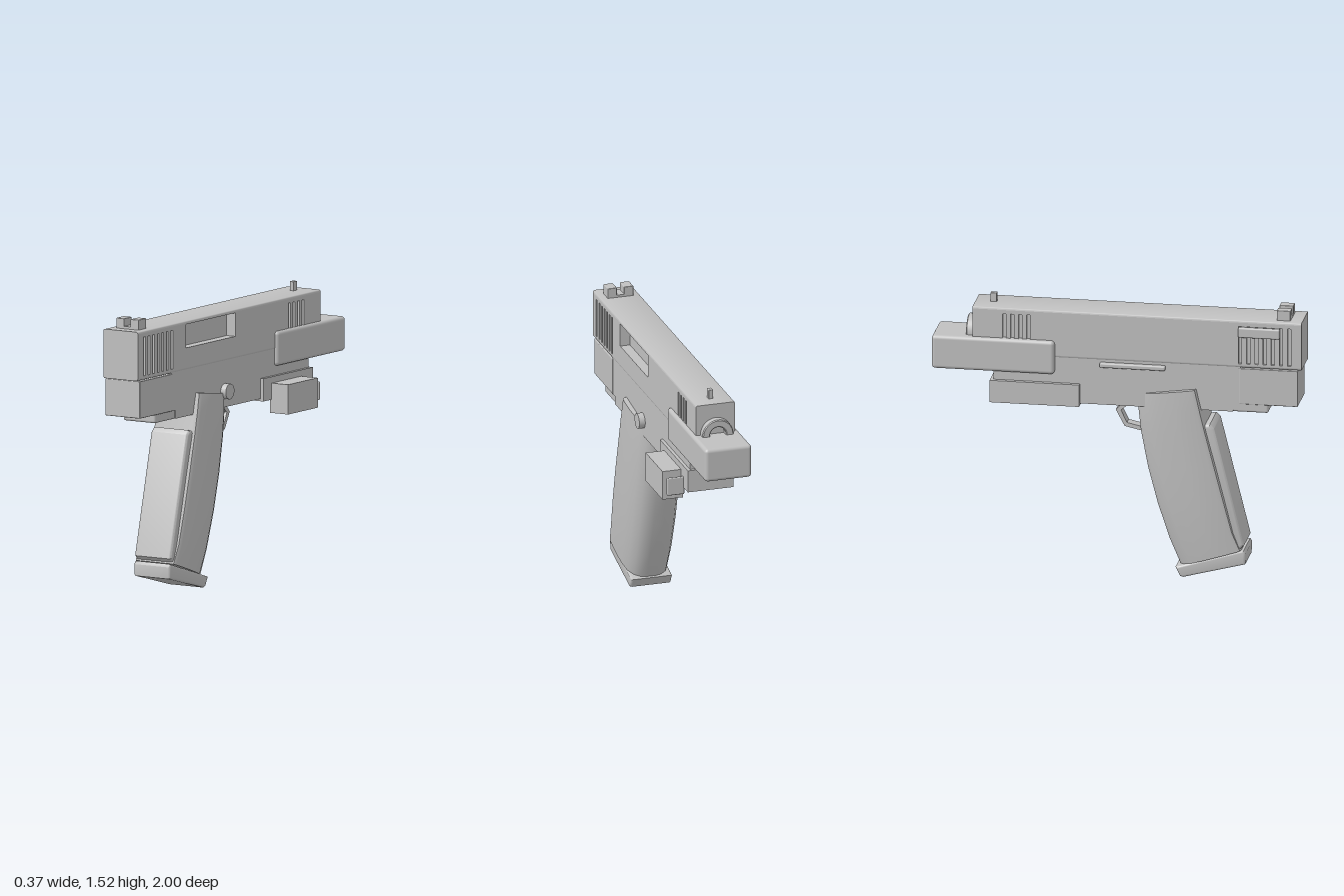
import * as THREE from 'three';
import { toCreasedNormals } from 'three/addons/utils/BufferGeometryUtils.js';
import { RoundedBoxGeometry } from 'three/addons/geometries/RoundedBoxGeometry.js';

const CX = -0.045; // centre plane of the body

export function createModel() {
  const model = new THREE.Group();
  const grey = new THREE.MeshStandardMaterial({ color: 0xc0c0c0 });
  grey.name = 'plain grey';

  const add = (name, geo) => {
    const mesh = new THREE.Mesh(geo, grey);
    mesh.name = name;
    model.add(mesh);
    return mesh;
  };

  // Box between limits, optionally with rounded edges
  const box = (name, x0, x1, y0, y1, z0, z1, r = 0) => {
    const s = [x1 - x0, y1 - y0, z1 - z0];
    const geo = r ? new RoundedBoxGeometry(...s, 3, r) : new THREE.BoxGeometry(...s);
    geo.translate((x0 + x1) / 2, (y0 + y1) / 2, (z0 + z1) / 2);
    return add(name, geo);
  };

  const rectPoints = (z0, z1, y0, y1) =>
    [[z0, y0], [z1, y0], [z1, y1], [z0, y1]].map(p => new THREE.Vector2(...p));

  // Side outline given as (z, y) and extruded from x0 to x1
  const sidePart = (name, points, x0, x1, bevel = 0, holes = []) => {
    const shape = new THREE.Shape(points.map(p => (p.isVector2 ? p : new THREE.Vector2(...p))));
    holes.forEach(h => shape.holes.push(new THREE.Path(h)));
    const geo = new THREE.ExtrudeGeometry(shape, {
      depth: x1 - x0 - 2 * bevel, bevelEnabled: bevel > 0,
      bevelSize: bevel, bevelThickness: bevel, bevelOffset: -bevel, bevelSegments: 3,
    });
    geo.rotateY(-Math.PI / 2).translate(x1 - bevel, 0, 0);
    return add(name, toCreasedNormals(geo, 0.6));
  };

  // Slide: rounded bar with a channel on each side for the slotted plates
  const [x0, x1, y0, y1, r] = [-0.155, 0.065, 1.2, 1.465, 0.012];
  const [ya, yb, dR, dL] = [1.213, 1.453, 0.055, 0.015];
  const bar = new THREE.Shape();
  bar.moveTo(x0 + r, y0);
  bar.lineTo(x1 - r, y0);
  bar.quadraticCurveTo(x1, y0, x1, ya);
  bar.lineTo(x1 - dR, ya);
  bar.lineTo(x1 - dR, yb);
  bar.lineTo(x1, yb);
  bar.quadraticCurveTo(x1, y1, x1 - r, y1);
  bar.lineTo(x0 + r, y1);
  bar.quadraticCurveTo(x0, y1, x0, yb);
  bar.lineTo(x0 + dL, yb);
  bar.lineTo(x0 + dL, ya);
  bar.lineTo(x0, ya);
  bar.quadraticCurveTo(x0, y0, x0 + r, y0);
  const barGeo = new THREE.ExtrudeGeometry(bar, { depth: 1.78, bevelEnabled: false, curveSegments: 4 });
  add('slideCore', toCreasedNormals(barGeo.translate(0, 0, -0.78), 0.6));

  // Slotted side plates, with the side opening on one of them
  const slots = [];
  for (let i = 0; i < 7; i++) slots.push(0.935 - i * 0.0445);
  for (let i = 0; i < 4; i++) slots.push(-0.478 - i * 0.0435);
  const slotHoles = slots.map(z => rectPoints(z - 0.009, z + 0.009, 1.222, 1.432));
  const plate = rectPoints(-0.78, 1, ya, yb);
  sidePart('slideRightPlate', plate, x1 - dR, x1, 0, [...slotHoles, rectPoints(0.05, 0.53, 1.32, 1.447)]);
  sidePart('slideLeftPlate', plate, x0, x0 + dL, 0, slotHoles);
  box('rearSlotFloor', 0, 0.05, ya, yb, 0.62, 0.98);
  box('frontSlotFloor', 0, 0.05, ya, yb, -0.66, -0.43);
  box('slideSideBar', -0.177, -0.15, 1.375, 1.43, 0.66, 0.885, 0.008);

  // Sights
  box('rearSightLeft', -0.025, 0.027, 1.455, 1.52, 0.86, 0.935, 0.004);
  box('rearSightRight', -0.117, -0.065, 1.455, 1.52, 0.86, 0.935, 0.004);
  box('rearSightBase', -0.07, -0.02, 1.455, 1.478, 0.86, 0.935);
  box('frontSight', -0.058, -0.032, 1.455, 1.515, -0.7, -0.665, 0.004);

  // Barrel end: hollow ring from a lathe profile
  const ring = [[0.045, -0.1], [0.087, -0.1], [0.087, 0.035], [0.082, 0.04], [0.05, 0.04], [0.045, 0.035], [0.045, -0.1]];
  const barrel = new THREE.LatheGeometry(ring.map(p => new THREE.Vector2(...p)), 32);
  barrel.rotateX(-Math.PI / 2).translate(CX - 0.002, 1.3, -0.78);
  add('barrelEnd', toCreasedNormals(barrel, 0.6));

  // Frame
  box('frameRearBlock', -0.155, 0.065, 0.995, 1.196, 0.662, 0.98, 0.004);
  box('frameBody', -0.152, 0.062, 0.995, 1.21, -0.667, 0.67);
  box('frameUnderside', -0.147, 0.057, 0.948, 1.1, -0.21, 0.82, 0.012);
  box('frameMiddle', -0.152, 0.062, 0.95, 1.05, -0.21, 0.63);
  box('noseBlock', -0.178, 0.084, 1.11, 1.296, -1, -0.335, 0.02);
  box('railBlock', -0.175, 0.08, 0.937, 1.06, -0.685, -0.2);
  box('sideModule', 0.07, 0.185, 0.865, 1.026, -0.57, -0.28);
  box('moduleSwitch', 0.075, 0.172, 0.9, 1.0, -0.614, -0.598, 0.006);
  box('slideLever', -0.178, -0.148, 1.164, 1.19, -0.09, 0.265, 0.008);

  // Round button above the trigger
  const button = new THREE.CylinderGeometry(0.042, 0.042, 0.05, 28);
  button.rotateZ(Math.PI / 2).translate(0.07, 1.037, 0.147);
  add('roundButton', button);

  // Bent trigger
  sidePart('trigger', [
    [0.06, 0.96], [0.025, 0.945], [-0.018, 0.9], [0.03, 0.81], [0.12, 0.79],
    [0.12, 0.813], [0.043, 0.83], [0.01, 0.898], [0.06, 0.94],
  ], -0.075, -0.015);

  // Grip lofted from rows: back z, back y, front z, front y, half width
  const rows = [
    [0.675, 0.172, 0.332, 0.06, 0.129], [0.634, 0.27, 0.273, 0.2, 0.136],
    [0.587, 0.45, 0.207, 0.4, 0.141], [0.54, 0.63, 0.155, 0.6, 0.142],
    [0.487, 0.83, 0.117, 0.8, 0.14], [0.455, 0.96, 0.104, 0.92, 0.138],
    [0.43, 1.065, 0.1, 1.02, 0.134],
  ];
  const half = [[0, 0.8], [0.02, 0.93], [0.07, 1], [0.4, 1], [0.62, 0.96], [0.8, 0.86], [0.92, 0.68], [0.98, 0.45], [1, 0.2]];
  const section = [...half, ...half.slice().reverse().map(([u, w]) => [u, -w])];
  const n = section.length, pos = [], idx = [];
  for (const [bz, by, fz, fy, hw] of rows)
    for (const [u, w] of section) pos.push(CX + w * hw, by + (fy - by) * u, bz + (fz - bz) * u);
  for (let i = 0; i < rows.length - 1; i++)
    for (let j = 0; j < n; j++) {
      const a = i * n + j, b = i * n + (j + 1) % n;
      idx.push(a, b, b + n, a, b + n, a + n);
    }
  const top = (rows.length - 1) * n;
  for (let j = 1; j < n - 1; j++) idx.push(0, j + 1, j, top, top + j, top + j + 1);
  const grip = new THREE.BufferGeometry();
  grip.setAttribute('position', new THREE.Float32BufferAttribute(pos, 3));
  grip.setIndex(idx);
  add('grip', toCreasedNormals(grip, 0.65));

  // Back strap and base plate of the grip
  sidePart('backStrap', [
    [0.69, 0.2], [0.67, 0.178], [0.61, 0.18], [0.45, 0.86], [0.505, 0.872], [0.528, 0.85],
  ], -0.162, 0.072, 0.015);
  sidePart('gripBasePlate', [
    [0.688, 0.172], [0.698, 0.155], [0.695, 0.092], [0.36, 0.003], [0.343, 0.008], [0.318, 0.058],
  ], -0.16, 0.07, 0.012);

  return model;
}
